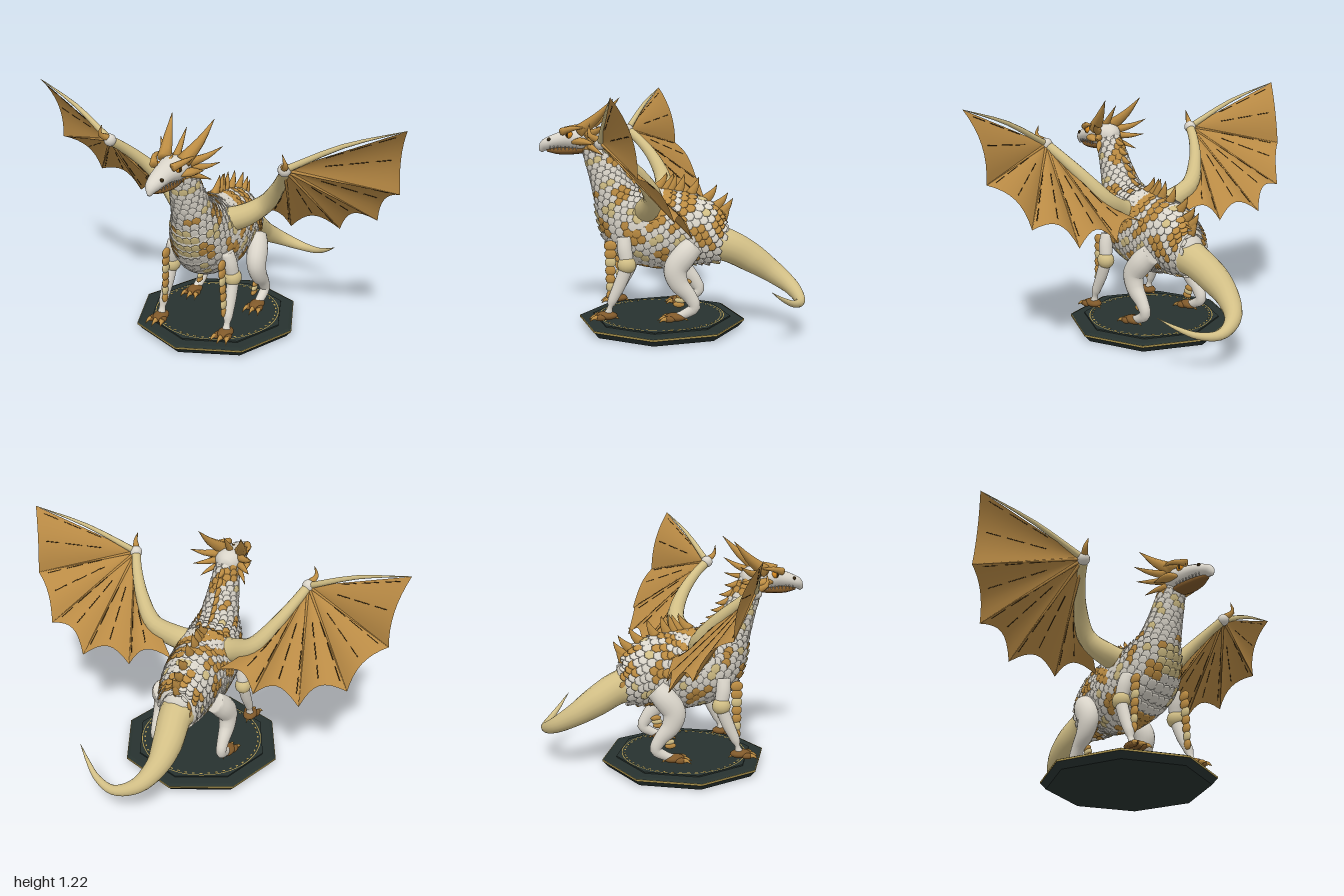
import * as THREE from 'three';
import { mergeGeometries } from 'three/addons/utils/BufferGeometryUtils.js';

const V = (x, y, z) => new THREE.Vector3(x, y, z);
const X = V(1, 0, 0), Y = V(0, 1, 0);
const mat = (name, color, side = THREE.FrontSide) => {
  const m = new THREE.MeshStandardMaterial({ color, side });
  m.name = name;
  return m;
};

// Tapered body along a path; each section is [x, y, z, radiusAlongRef, otherRadius]
function loft(sections, ref = X, rows = 24, seg = 16) {
  const path = new THREE.CatmullRomCurve3(sections.map(s => V(s[0], s[1], s[2])));
  const radii = new THREE.CatmullRomCurve3(sections.map(s => V(s[3], s[4] ?? s[3], 0)));
  const frame = u => {
    const k = path.getUtoTmapping(u), t = path.getTangent(k), r = radii.getPoint(k);
    const side = ref.clone().addScaledVector(t, -ref.dot(t)).normalize();
    return { c: path.getPoint(k), t, side, up: t.clone().cross(side), rx: Math.max(r.x, 0.0008), ry: Math.max(r.y, 0.0008) };
  };
  const pos = [], idx = [];
  for (let i = 0; i <= rows; i++) {
    const f = frame(i / rows);
    for (let j = 0; j < seg; j++) {
      const a = j / seg * Math.PI * 2;
      const p = f.c.clone().addScaledVector(f.side, f.rx * Math.cos(a)).addScaledVector(f.up, f.ry * Math.sin(a));
      pos.push(p.x, p.y, p.z);
      if (i === rows) continue;
      const A = i * seg + j, B = i * seg + (j + 1) % seg;
      idx.push(A, B, A + seg, B, B + seg, A + seg);
    }
  }
  // end caps
  for (let j = 1; j < seg - 1; j++) idx.push(0, j + 1, j, rows * seg, rows * seg + j, rows * seg + j + 1);
  const geo = new THREE.BufferGeometry();
  geo.setAttribute('position', new THREE.Float32BufferAttribute(pos, 3));
  geo.setIndex(idx);
  geo.computeVertexNormals();
  return { geo, frame };
}

// Curved spike from a to b, bulging by bend
function spike(a, b, r, bend = V(0, 0, 0), flat = 1) {
  const m = a.clone().lerp(b, 0.5).add(bend);
  const d = b.clone().sub(a).normalize();
  const ref = Math.abs(d.x) > 0.85 ? Y : X;
  return loft([[...a, r * flat, r], [...m, r * 0.6 * flat, r * 0.6], [...b, 0.001]], ref, 6, 8).geo;
}
const ball = (x, y, z, rx, ry = rx, rz = rx) => new THREE.SphereGeometry(1, 16, 12).scale(rx, ry, rz).translate(x, y, z);

// Grid surface from a function of u and t
function sheet(fn, nu = 10, nt = 8) {
  const g = new THREE.PlaneGeometry(1, 1, nu, nt), p = g.attributes.position;
  for (let i = 0; i < p.count; i++) {
    const q = fn(p.getX(i) + 0.5, p.getY(i) + 0.5);
    p.setXYZ(i, q.x, q.y, q.z);
  }
  g.computeVertexNormals();
  return g;
}

export function createModel() {
  const white = mat('ivory hide', 0xdad5ca), gold = mat('gold scale', 0xbd8d43), cream = mat('cream skin', 0xd2bf86);
  const brown = mat('brown horn', 0x80592a), skin = mat('wing membrane', 0xba8b45, THREE.DoubleSide);
  const dark = mat('dark vein', 0x39290f), slate = mat('slate', 0x27322f), trim = mat('base trim', 0xb39a50, THREE.DoubleSide);
  const amber = mat('amber eye', 0xd98a1e);
  const model = new THREE.Group();

  const add = (name, geo, m) => {
    const list = Array.isArray(geo) ? mergeGeometries(geo) : geo;
    const mesh = new THREE.Mesh(list, m);
    mesh.name = name;
    model.add(mesh);
    return list;
  };
  const pair = (name, geo, m) => {
    const g = add('left' + name, geo, m).clone().scale(-1, 1, 1), ix = g.index.array;
    for (let i = 0; i < ix.length; i += 3) [ix[i], ix[i + 1]] = [ix[i + 1], ix[i]];
    add('right' + name, g, m);
  };

  // Octagonal base
  const slab = (name, top, bottom, y0, y1, m) => {
    const g = new THREE.CylinderGeometry(top, bottom, y1 - y0, 8).toNonIndexed();
    g.translate(0, (y0 + y1) / 2, 0.05).computeVertexNormals();
    add(name, g, m);
  };
  slab('baseFoot', 0.432, 0.405, 0, 0.031, slate);
  slab('baseTrim', 0.434, 0.434, 0.031, 0.04, trim);
  slab('baseRim', 0.415, 0.431, 0.04, 0.048, slate);
  slab('baseTop', 0.36, 0.36, 0.048, 0.055, slate);
  add('baseRing', new THREE.RingGeometry(0.324, 0.328, 64).rotateX(-Math.PI / 2).translate(0, 0.0558, 0.05), trim);
  const studs = [];
  for (let i = 0; i < 48; i++) {
    const a = i / 48 * Math.PI * 2;
    studs.push(new THREE.BoxGeometry(0.014, 0.001, 0.008).rotateY(a).translate(Math.sin(a) * 0.312, 0.0555, 0.05 + Math.cos(a) * 0.312));
  }
  add('baseStuds', studs, trim);

  // Torso and neck
  const torso = loft([
    [0, 0.46, -0.3, 0.05, 0.07], [0, 0.46, -0.24, 0.11, 0.13], [0, 0.505, -0.1, 0.15, 0.187], [0, 0.512, 0.05, 0.165, 0.207],
    [0, 0.54, 0.17, 0.165, 0.205], [0, 0.62, 0.25, 0.138, 0.155], [0, 0.7, 0.295, 0.102, 0.108], [0, 0.8, 0.34, 0.084, 0.085],
    [0, 0.9, 0.38, 0.07, 0.072], [0, 0.98, 0.42, 0.055, 0.055]], X, 40, 28);
  add('torso', torso.geo, white);

  // Flat overlapping scales, coloured in patches
  const scales = { white: [], gold: [], cream: [] };
  for (let i = 1; i < 36; i++) {
    const f = torso.frame(i / 36.5), n = Math.round(Math.PI * (f.rx + f.ry) / 0.042);
    const s = 0.75 + 0.25 * Math.min(1, f.rx / 0.13);
    for (let j = 0; j < n; j++) {
      const a = (j + (i % 2) / 2) / n * Math.PI * 2;
      const p = f.c.clone().addScaledVector(f.side, f.rx * Math.cos(a)).addScaledVector(f.up, f.ry * Math.sin(a));
      const out = f.side.clone().multiplyScalar(Math.cos(a) / f.rx).addScaledVector(f.up, Math.sin(a) / f.ry).normalize();
      const back = f.t.clone().negate();
      back.addScaledVector(out, 0.05 - back.dot(out)).normalize();
      const w = out.clone().cross(back).normalize(), o = back.clone().cross(w);
      const v = Math.sin(26 * p.z + 17 * p.x + 3 * Math.sin(9 * p.y)) * Math.sin(28 * p.y + 14 * p.x + 2 * Math.sin(14 * p.z));
      const chest = (p.x / 0.068) ** 2 + ((p.y - 0.545) / 0.085) ** 2 < 1 && p.z > 0.28;
      const kind = chest || v < -0.74 ? 'cream' : v > (p.y > 0.74 ? 0.55 : 0.36) ? 'gold' : 'white';
      const g = new THREE.SphereGeometry(1, 7, 4).scale(0.027 * s, kind === 'white' ? 0.003 : 0.0045, 0.03 * s);
      scales[kind].push(g.applyMatrix4(new THREE.Matrix4().makeBasis(w, o, back).setPosition(p)));
    }
  }
  add('ivoryScales', scales.white, white);
  add('goldScales', scales.gold, gold);
  add('creamScales', scales.cream, cream);

  // Spine crest
  const crest = [];
  for (let i = 0; i < 20; i++) {
    const f = torso.frame(0.04 + i * 0.047), h = i < 11 ? 0.095 : 0.065;
    const root = f.c.clone().addScaledVector(f.up, f.ry - 0.008);
    const tip = root.clone().addScaledVector(f.up, h).addScaledVector(f.t, -0.035);
    crest.push(spike(root, tip, i < 11 ? 0.028 : 0.02, f.t.clone().multiplyScalar(-0.006), 0.8));
  }
  add('spineCrest', crest, gold);

  // Tail
  add('tail', loft([[0, 0.45, -0.2, 0.1], [0, 0.425, -0.3, 0.085], [-0.015, 0.36, -0.42, 0.076], [-0.005, 0.29, -0.53, 0.057],
    [0.055, 0.225, -0.625, 0.04], [0.17, 0.184, -0.662, 0.025], [0.28, 0.195, -0.625, 0.017], [0.36, 0.235, -0.57, 0.01],
    [0.43, 0.285, -0.515, 0.001]], Y, 36, 16).geo, cream);

  // Head with beak
  add('head', loft([[0, 0.97, 0.35, 0.03], [0, 0.975, 0.4, 0.072, 0.062], [0, 0.975, 0.47, 0.074, 0.06], [0, 0.97, 0.55, 0.055, 0.045],
    [0, 0.957, 0.61, 0.045, 0.036], [0, 0.938, 0.655, 0.032, 0.03], [0, 0.908, 0.678, 0.006, 0.01]], X, 24, 18).geo, white);
  add('lowerJaw', loft([[0, 0.925, 0.42, 0.04, 0.02], [0, 0.915, 0.5, 0.05, 0.022], [0, 0.912, 0.58, 0.041, 0.02], [0, 0.915, 0.642, 0.014, 0.01]], X, 12, 12).geo, brown);
  const teeth = [];
  for (let i = 0; i < 8; i++) {
    const z = 0.48 + i * 0.02, x = 0.05 - i * 0.0025;
    teeth.push(spike(V(x, 0.937, z), V(x, 0.918, z), 0.004));
  }
  pair('Teeth', teeth, white);
  pair('Nostril', ball(0.038, 0.972, 0.625, 0.009), dark);
  pair('Eye', ball(0.056, 0.997, 0.515, 0.019), amber);
  pair('Pupil', ball(0.069, 0.997, 0.521, 0.007, 0.013, 0.007), dark);
  pair('Brow', spike(V(0.05, 1.012, 0.555), V(0.09, 1.035, 0.42), 0.02, V(0.015, 0.008, 0)), gold);
  pair('CheekPlate', loft([[0.055, 0.96, 0.5, 0.01], [0.08, 0.965, 0.45, 0.02, 0.03], [0.11, 0.955, 0.38, 0.002]], Y, 8, 10).geo, gold);

  // Horns and frill
  pair('Horn', spike(V(0.05, 1.015, 0.46), V(0.115, 1.18, 0.28), 0.036, V(0.004, -0.008, -0.005)), gold);
  pair('Frill', [
    spike(V(0.06, 1.0, 0.42), V(0.17, 1.06, 0.3), 0.024, V(0.004, -0.008, 0)),
    spike(V(0.06, 0.97, 0.41), V(0.155, 0.98, 0.3), 0.021, V(0.006, -0.005, 0)),
    spike(V(0.055, 0.94, 0.41), V(0.125, 0.9, 0.33), 0.018, V(0.006, 0, 0))], gold);
  add('crownSpike', [spike(V(0, 1.02, 0.44), V(0, 1.14, 0.34), 0.02), spike(V(0, 1.0, 0.52), V(0, 1.05, 0.46), 0.014)], gold);

  // Wings: arm, wrist, fingers and membrane
  const wrist = V(0.48, 0.99, 0.285);
  pair('WingArm', loft([[0.07, 0.61, 0.13, 0.064], [0.17, 0.64, 0.1, 0.06], [0.28, 0.715, 0.065, 0.047], [0.37, 0.83, 0.12, 0.034],
    [0.44, 0.93, 0.21, 0.026], [0.48, 0.99, 0.285, 0.024]], Y, 24, 14).geo, cream);
  pair('Wrist', ball(...wrist, 0.032), white);
  pair('WristClaw', spike(V(0.48, 1.0, 0.29), V(0.49, 1.08, 0.335), 0.02, V(0.02, -0.01, 0.02)), gold);
  const tips = [V(1, 1.215, 0.16), V(0.955, 0.88, 0.055), V(0.81, 0.675, -0.085), V(0.595, 0.565, -0.15), V(0.345, 0.545, -0.11)];
  const scallop = [0.02, 0.05, 0.1, 0.11, 0.1];
  const inner = new THREE.CatmullRomCurve3([wrist, V(0.42, 0.89, 0.17), V(0.34, 0.77, 0.09), V(0.24, 0.67, 0.05), V(0.13, 0.6, -0.05)]);
  const rays = tips.map(t => u => wrist.clone().lerp(t, u));
  rays.push(u => inner.getPoint(u));
  const panels = [], veins = [], fingers = [];
  for (let i = 0; i < 5; i++) {
    const n = rays[i](1).sub(wrist).cross(rays[i + 1](1).sub(wrist)).normalize();
    const at = (u, t) => {
      const bow = 4 * t * (1 - t), k = u * (1 - scallop[i] * bow * u);
      return rays[i](k).lerp(rays[i + 1](k), t).addScaledVector(n, 0.035 * bow * u);
    };
    panels.push(sheet(at));
    // broken dark streaks along each panel
    for (const t of [0.06, 0.5]) for (const [a, b] of [[0.35, 0.5], [0.55, 0.72], [0.78, 0.92]]) {
      const line = [a, (a + b) / 2, b].map(u => at(u, t));
      veins.push(new THREE.TubeGeometry(new THREE.CatmullRomCurve3(line), 4, 0.0024, 4));
    }
    if (i) fingers.push(spike(wrist, tips[i], 0.008));
  }
  pair('WingMembrane', panels, skin);
  pair('WingVeins', veins, dark);
  pair('WingFingers', fingers, skin);
  pair('LeadingFinger', spike(wrist, tips[0], 0.018, V(-0.01, 0.02, 0)), cream);

  // Legs
  pair('FrontLeg', loft([[0.155, 0.49, 0.225, 0.03, 0.034], [0.168, 0.43, 0.22, 0.036, 0.038], [0.178, 0.355, 0.21, 0.03, 0.034], [0.184, 0.26, 0.24, 0.028, 0.032],
    [0.19, 0.16, 0.285, 0.023, 0.024], [0.19, 0.09, 0.305, 0.023, 0.024]]).geo, white);
  pair('ElbowPad', ball(0.178, 0.352, 0.208, 0.043, 0.046, 0.048), cream);
  pair('HindLeg', loft([[0.145, 0.45, -0.125, 0.05, 0.055], [0.17, 0.4, -0.08, 0.055, 0.062], [0.185, 0.335, -0.038, 0.05, 0.06], [0.19, 0.265, -0.055, 0.042, 0.05],
    [0.19, 0.2, -0.11, 0.031, 0.036], [0.19, 0.145, -0.135, 0.026, 0.03], [0.19, 0.108, -0.085, 0.024, 0.024], [0.19, 0.09, -0.04, 0.02, 0.02]], X, 30).geo, white);
  const shins = { gold: [], cream: [] }, feet = [], claws = [];
  for (let i = 0; i < 7; i++) shins[i % 3 === 2 ? 'cream' : 'gold'].push(ball(0.16 + i * 0.002, 0.445 - i * 0.042, 0.293, 0.013, 0.028, 0.033 - i * 0.002));
  for (let i = 0; i < 3; i++) shins[i === 1 ? 'cream' : 'gold'].push(ball(0.165, 0.195 - i * 0.022, -0.07 + i * 0.008, 0.012, 0.016, 0.03));
  for (const z of [0.31, -0.04]) {
    feet.push(ball(0.19, 0.092, z, 0.038, 0.022, 0.055));
    for (const k of [-1, 0, 1]) {
      feet.push(ball(0.19 + k * 0.03, 0.086, z + 0.03, 0.016, 0.016, 0.032));
      claws.push(spike(V(0.19 + k * 0.033, 0.088, z + 0.045), V(0.19 + k * 0.045, 0.07, z + 0.092 - Math.abs(k) * 0.012), 0.014, V(0, 0.006, 0)));
    }
    claws.push(spike(V(0.19, 0.09, z - 0.035), V(0.19, 0.075, z - 0.065), 0.011));
  }
  pair('ShinScales', shins.gold, gold);
  pair('PaleShinScales', shins.cream, cream);
  pair('Feet', feet, brown);
  pair('Claws', claws, gold);
  return model;
}
